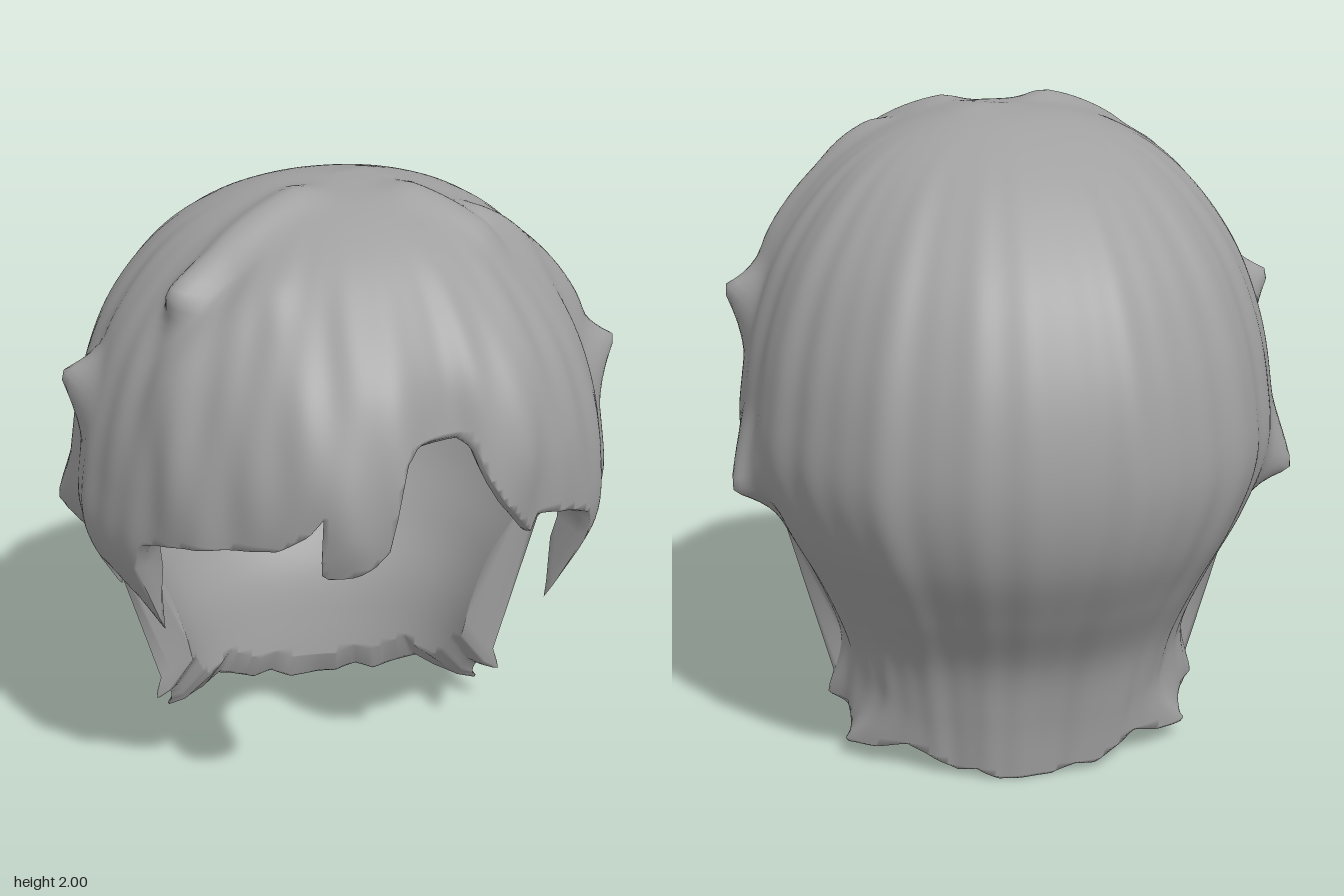
import * as THREE from 'three';
import { mergeVertices } from 'three/addons/utils/BufferGeometryUtils.js';

const hairMat = new THREE.MeshStandardMaterial({ color: 0xa0a0a0 });
hairMat.name = 'hair grey';

// Head profile from crown to nape: y, half width, front z, back z, centre z
const PROFILE = [
  [2.0, 0, 0.02, 0.02, 0.02], [1.975, 0.22, 0.25, -0.15, 0.02], [1.9, 0.41, 0.45, -0.33, 0.01],
  [1.78, 0.56, 0.61, -0.51, 0], [1.6, 0.69, 0.77, -0.69, 0], [1.4, 0.77, 0.85, -0.805, 0],
  [1.2, 0.81, 0.86, -0.865, 0], [1.0, 0.82, 0.81, -0.875, 0], [0.8, 0.74, 0.74, -0.825, -0.05],
  [0.6, 0.63, 0.7, -0.71, -0.1], [0.4, 0.55, 0.6, -0.585, -0.11], [0.2, 0.51, 0.5, -0.53, -0.11],
  [0, 0.48, 0.5, -0.5, -0.11],
];
// Hem height by angle in degrees from the front, positive to the model's left
const SIDE_HEM = [
  [53, 1.07], [55, 1.0], [56.5, 0.72], [58, 0.71], [62, 0.81], [66, 0.88], [73, 0.9], [75.5, 0.87],
  [76.7, 0.75], [78.2, 0.75], [81, 0.86], [87, 0.93], [91, 0.92], [94, 0.87], [95.5, 0.8], [96.5, 0.28],
  [98, 0.2], [107, 0.17], [113, 0.1], [121, 0.06], [130, 0.07], [138, 0.1], [147, 0.06], [155, 0.03],
  [163, 0.04], [171, 0.01], [180, 0.01],
];
const LEFT_HEM = [
  [0, 1.16], [1.5, 1.3], [3, 1.41], [6, 1.45], [17, 1.45], [20, 1.42], [22, 1.32], [25, 1.24],
  [29, 1.17], [32.5, 1.11], [35, 1.16], [39, 1.15], [44, 1.13], [49, 1.1], ...SIDE_HEM];
const RIGHT_HEM = [
  [0, 1.16], [2, 1.12], [5, 1.09], [9, 1.08], [11, 1.1], [12.2, 1.28], [15, 1.22], [21, 1.16],
  [33, 1.14], [41, 1.12], [49, 1.09], ...SIDE_HEM];
// Raised strand edges on the crown: start x, z, end x, z, height
const RIDGES = [
  [-0.15, 0.18, -0.48, 0.36, 0.035], [0.18, 0.17, 0.36, 0.28, 0.03], [0.4, 0.2, 0.75, 0.08, 0.035],
  [-0.3, 0.5, -0.6, 0.52, 0.02], [0.1, 0, 0.18, 0.17, 0.012],
];
// Pulled-out strand tips: centre, pull vector, reach
const SIDE_TIPS = [
  [[0.78, 1.39, 0.07], [0.09, 0.06, -0.01], 0.17], // temple
  [[0.81, 0.94, -0.18], [0.08, -0.06, -0.08], 0.2], // behind the ear
  [[0.5, 0.21, -0.16], [0.09, -0.04, 0.03], 0.2], // nape, front
  [[0.42, 0.07, -0.32], [0.12, 0, 0.04], 0.2], // nape, back
];
const TIPS = [
  ...SIDE_TIPS,
  ...SIDE_TIPS.map(([[x, y, z], [dx, dy, dz], r]) => [[-x, y, z], [-dx, dy, dz], r]),
  [[-0.47, 1.78, 0.36], [-0.08, -0.01, 0.04], 0.13], // crown
  [[-0.16, 1.09, 0.86], [-0.04, 0, -0.01], 0.12], // fringe
].map(([c, d, r]) => [new THREE.Vector3(...c), new THREE.Vector3(...d), r]);

function hemAt(deg) {
  const keys = deg >= 0 ? LEFT_HEM : RIGHT_HEM, a = Math.abs(deg);
  let i = 0;
  while (i < keys.length - 2 && keys[i + 1][0] < a) i++;
  const [a0, y0] = keys[i], [a1, y1] = keys[i + 1];
  return THREE.MathUtils.lerp(y0, y1, (a - a0) / (a1 - a0));
}
// The lining stops short of the loose tips
function liningHem(deg, hem) {
  const a = Math.abs(deg);
  if (a > 96) return hem + 0.09;
  return Math.max(hem + 0.04, a > 54 && a < 93 ? 0.93 : 0);
}

// Catmull-Rom sample of one profile column
function prof(s, c) {
  const n = PROFILE.length - 1, i = Math.min(Math.floor(s), n - 1), t = s - i;
  const p = (k) => PROFILE[Math.max(0, Math.min(n, k))][c];
  const [a, b, d, e] = [p(i - 1), p(i), p(i + 1), p(i + 2)];
  return b + 0.5 * t * (d - a + t * (2 * a - 5 * b + 4 * d - e + t * (3 * (b - d) + e - a)));
}
function paramAtY(y) {
  let lo = 0, hi = PROFILE.length - 1;
  for (let k = 0; k < 30; k++) {
    const m = (lo + hi) / 2;
    if (prof(m, 0) > y) lo = m; else hi = m;
  }
  return lo;
}
const bell = (x, c, w) => Math.exp(-(((x - c) / w) ** 2));
const { smoothstep, clamp } = THREE.MathUtils;

// Relief of the strands: grooves, parting and swept fringe
function relief(deg, y) {
  const r = THREE.MathUtils.degToRad(deg);
  const sweep = r + 0.6 * (1.5 - y) * Math.tanh((deg - 12) / 15) * bell(deg, 0, 70);
  let d = 0.007 * Math.sin(13 * sweep) + 0.005 * Math.sin(22 * sweep + 1.3) + 0.003 * Math.sin(37 * r);
  d -= 0.03 * bell(deg, 14, 6) * smoothstep(y, 1.4, 1.7) + 0.09 * bell(deg, 14, 9) * bell(y, 1.42, 0.2);
  d += 0.025 * bell(deg, -6, 8) * bell(y, 1.3, 0.3) - 0.03 * bell(deg, 30, 12) * bell(y, 1.15, 0.2);
  d += 0.015 * Math.sin(9 * r) * smoothstep(0.5 - y, 0, 0.4);
  return d * smoothstep(2 - y, 0, 0.25);
}

// Lift of the crown ridges over a point seen from above
function ridgeLift(x, z) {
  return Math.max(...RIDGES.map(([x0, z0, x1, z1, h]) => {
    const dx = x1 - x0, dz = z1 - z0;
    const t = clamp(((x - x0) * dx + (z - z0) * dz) / (dx * dx + dz * dz), 0, 1);
    return h * bell(Math.hypot(x - x0 - t * dx, z - z0 - t * dz), 0, 0.07);
  }));
}

// Point on the outer surface, or on the lining when inset > 0
function surfacePoint(deg, s, inset = 0) {
  const r = THREE.MathUtils.degToRad(deg), sn = Math.sin(r), cs = Math.cos(r);
  const [y, w, zf, zb, cz] = [0, 1, 2, 3, 4].map((c) => prof(s, c));
  const k = 1 + (inset ? -inset : relief(deg, y));
  const p = new THREE.Vector3(
    Math.sign(sn) * Math.abs(sn) ** 0.95 * w * k,
    y - inset * 0.8 * smoothstep(y, 1.2, 2),
    cz + ((cs >= 0 ? zf : zb) - cz) * Math.abs(cs) ** 0.95 * k);
  if (inset) return p;
  if (y > 1.3) {
    const out = new THREE.Vector3(p.x, p.y - 1.1, p.z).normalize();
    p.addScaledVector(out, ridgeLift(p.x, p.z) * smoothstep(y, 1.3, 1.6));
  }
  const base = p.clone();
  for (const [c, pull, reach] of TIPS) {
    p.addScaledVector(pull, Math.max(0, 1 - base.distanceTo(c) / reach) ** 1.7);
  }
  return p;
}

// Closed shell: outside down to the hem, around the rim, lining back up
function hairShell() {
  const cols = 320, rows = 84, inset = 0.12, pos = [], idx = [];
  const total = 2 * rows + 3, sMax = PROFILE.length - 1;
  const add = (p) => pos.push(p.x, p.y, p.z);
  for (let i = 0; i < cols; i++) {
    const deg = -180 + (360 * i) / cols, hem = hemAt(deg);
    const sHem = paramAtY(hem), sLining = paramAtY(liningHem(deg, hem));
    for (let j = 0; j <= rows; j++) add(surfacePoint(deg, Math.min(sHem, (sMax * j) / rows)));
    const rim = surfacePoint(deg, sHem).lerp(surfacePoint(deg, sLining, inset), 0.35);
    rim.y -= 0.02;
    add(rim);
    for (let j = rows; j >= 0; j--) add(surfacePoint(deg, Math.min(sLining, (sMax * j) / rows), inset));
  }
  for (let i = 0; i < cols; i++) {
    for (let j = 0; j < total - 1; j++) {
      const a = i * total + j, b = ((i + 1) % cols) * total + j;
      idx.push(a, a + 1, b, b, a + 1, b + 1);
    }
  }
  const g = new THREE.BufferGeometry();
  g.setAttribute('position', new THREE.Float32BufferAttribute(pos, 3));
  g.setIndex(idx);
  const merged = mergeVertices(g, 1e-4);
  merged.computeVertexNormals();
  return merged;
}

export function createModel() {
  const group = new THREE.Group();
  group.name = 'hair';
  const shell = new THREE.Mesh(hairShell(), hairMat);
  shell.name = 'hairShell';
  group.add(shell);
  return group;
}
